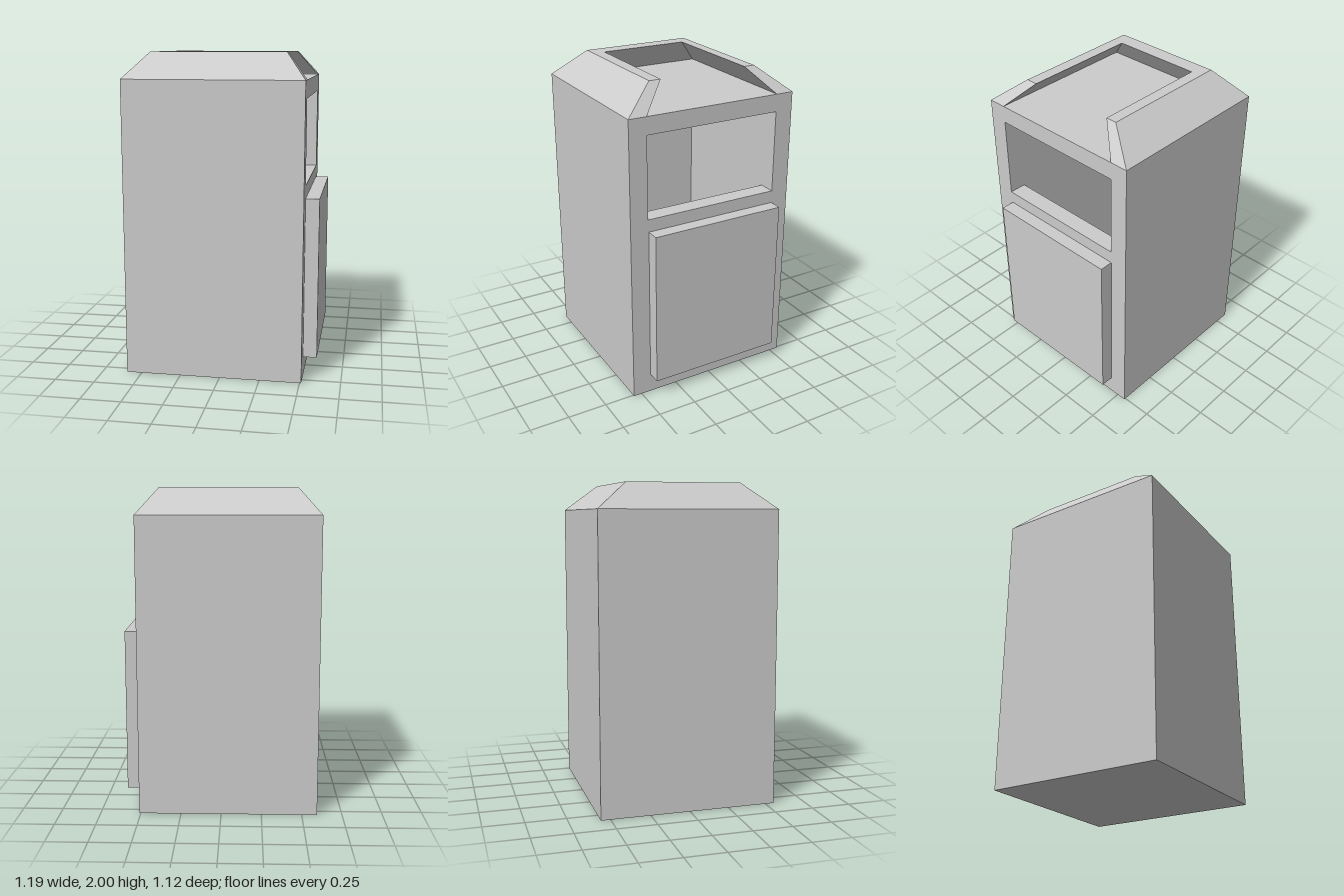
import * as THREE from 'three';

const material = new THREE.MeshStandardMaterial({ color: 0xcccccc, flatShading: true });

function add(group, name, geometry) {
  const mesh = new THREE.Mesh(geometry, material);
  mesh.name = name;
  group.add(mesh);
}

// Box given by its lower and upper corners
function boxBetween([x0, y0, z0], [x1, y1, z1]) {
  return new THREE.BoxGeometry(x1 - x0, y1 - y0, z1 - z0)
    .translate((x0 + x1) / 2, (y0 + y1) / 2, (z0 + z1) / 2);
}

const BACK = -0.595, FRONT = 0.51, LEFT = 0.555, RIGHT = -0.56, HEIGHT = 1.84;
const IN_BACK = -0.48, IN_LEFT = 0.44, IN_RIGHT = -0.445;

// Hollow shell between the side walls, open through the slot in its +x face
function shellGeometry() {
  const profile = [
    [BACK, 0], [FRONT, 0], [FRONT, 1.21], [0.4, 1.21], [0.4, 0.11],
    [IN_BACK, 0.11], [IN_BACK, 1.73], [FRONT, 1.73], [FRONT, HEIGHT], [BACK, HEIGHT],
  ].map(([x, y]) => new THREE.Vector2(x, y));
  return new THREE.ExtrudeGeometry(new THREE.Shape(profile), {
    depth: IN_LEFT - IN_RIGHT, bevelEnabled: false,
  }).translate(0, 0, IN_RIGHT);
}

// U-shaped sloping rim: a four-cornered section swept along three sides
function rimGeometry() {
  const section = (outerX, topX, innerTopX, innerX, left) => [
    [outerX, HEIGHT, left ? LEFT : RIGHT],
    [topX, 2, left ? 0.355 : -0.36],
    [innerTopX, 2, left ? 0.28 : -0.29],
    [innerX, HEIGHT, left ? IN_LEFT : IN_RIGHT],
  ];
  const front = [FRONT, 0.38, 0.38, FRONT];
  const back = [BACK, -0.46, -0.36, IN_BACK];
  const sections = [
    section(...front, true), section(...back, true),
    section(...back, false), section(...front, false),
  ];
  const points = [];
  const quad = (a, b, c, d) => points.push(...a, ...b, ...c, ...a, ...c, ...d);
  for (let i = 0; i < 3; i++) {
    for (let j = 0; j < 4; j++) {
      const k = (j + 1) % 4;
      quad(sections[i][j], sections[i][k], sections[i + 1][k], sections[i + 1][j]);
    }
  }
  quad(...[...sections[0]].reverse());
  quad(...sections[3]);
  const geometry = new THREE.BufferGeometry();
  geometry.setAttribute('position', new THREE.Float32BufferAttribute(points, 3));
  geometry.computeVertexNormals();
  return geometry;
}

export function createModel() {
  const group = new THREE.Group();
  group.name = 'wasteBin';
  add(group, 'bodyShell', shellGeometry());
  add(group, 'leftWall', boxBetween([BACK, 0, IN_LEFT], [FRONT, HEIGHT, LEFT]));
  add(group, 'rightWall', boxBetween([BACK, 0, RIGHT], [FRONT, HEIGHT, IN_RIGHT]));
  add(group, 'door', boxBetween([FRONT, 0.125, IN_RIGHT], [0.595, 1.13, 0.435]));
  add(group, 'topRim', rimGeometry());
  return group;
}
